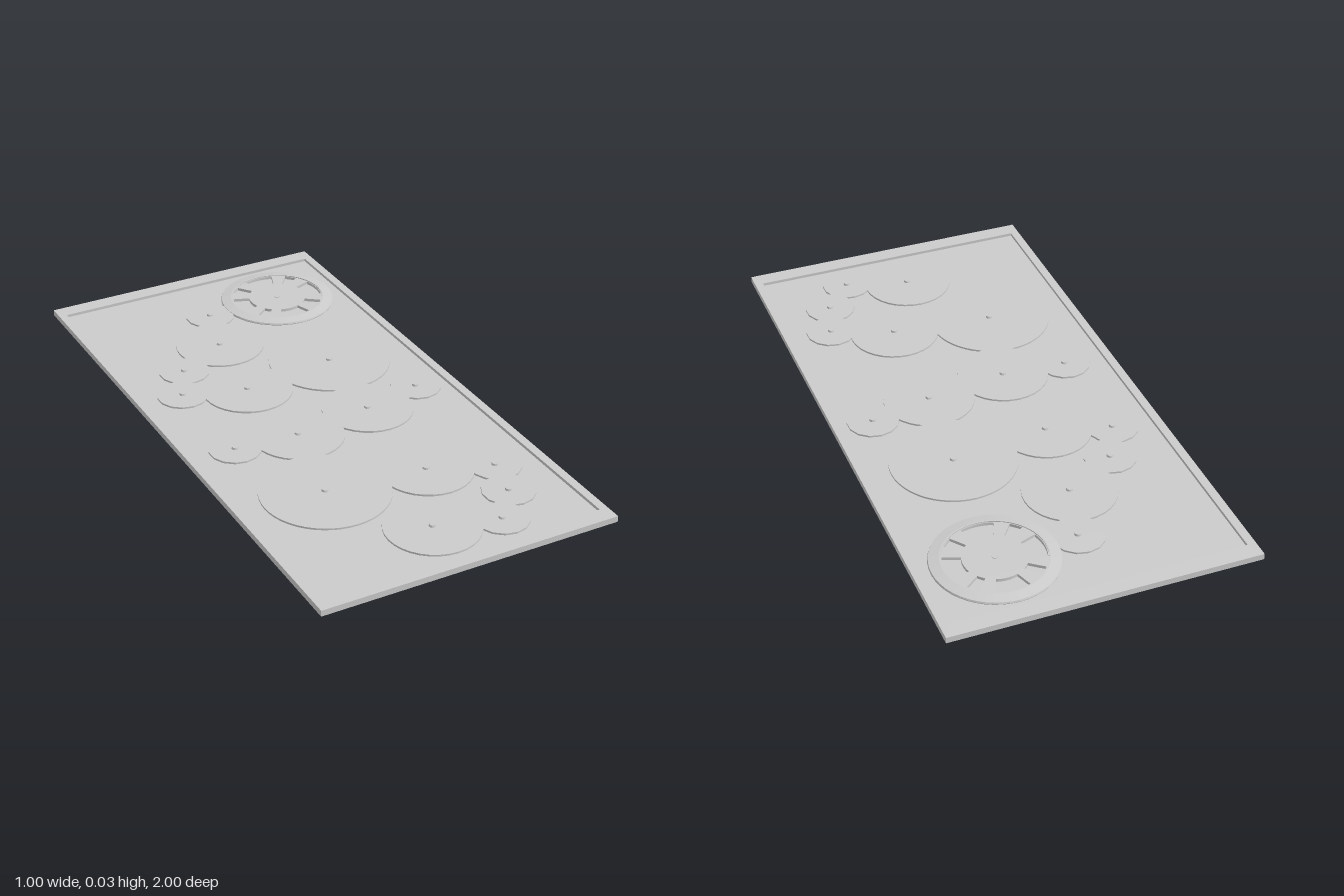
import * as THREE from 'three';

const material = new THREE.MeshStandardMaterial({ color: 0xcccccc, flatShading: true, side: THREE.DoubleSide });

function add(parent, name, geometry, x = 0, y = 0, z = 0) {
  const mesh = new THREE.Mesh(geometry, material);
  mesh.name = name;
  mesh.position.set(x, y, z);
  parent.add(mesh);
  return mesh;
}

// Lay a flat shape down and thicken it upward from y = 0
function slab(shape, height, curveSegments = 12) {
  return new THREE.ExtrudeGeometry(shape, { depth: height, bevelEnabled: false, curveSegments }).rotateX(-Math.PI / 2);
}

function rectangle(Type, hx, hz) {
  return new Type([[-hx, -hz], [hx, -hz], [hx, hz], [-hx, hz]].map(([x, z]) => new THREE.Vector2(x, z)));
}

// Window between two radii, centred on an angle
function sector(angle, half, inner, outer) {
  const path = new THREE.Path();
  path.absarc(0, 0, outer, angle - half, angle + half, false);
  path.absarc(0, 0, inner, angle + half, angle - half, true);
  path.closePath();
  return path;
}

function createWheel() {
  const wheel = new THREE.Group();
  wheel.name = 'wheel';

  // Chamfered outer rim
  const profile = [[0.16, 0], [0.17, 0], [0.197, 0.012], [0.2, 0.022], [0.198, 0.027], [0.165, 0.033], [0.16, 0.033], [0.16, 0]];
  add(wheel, 'rim', new THREE.LatheGeometry(profile.map(([r, y]) => new THREE.Vector2(r, y)), 48));

  // Spoked face: wide windows on the axes, narrow ones on the diagonals
  const face = new THREE.Shape();
  face.absarc(0, 0, 0.162, 0, Math.PI * 2, false);
  for (let i = 0; i < 8; i++) {
    face.holes.push(sector(i * Math.PI / 4, i % 2 ? 0.13 : 0.34, 0.1, 0.157));
  }
  add(wheel, 'spokes', slab(face, 0.026), 0, 0.004, 0);
  add(wheel, 'wheelPin', new THREE.CylinderGeometry(0.01, 0.01, 0.031, 10), 0, 0.0165, 0);
  return wheel;
}

export function createModel() {
  const model = new THREE.Group();
  model.name = 'gearPanel';

  // Border frame, wider at the two ends
  const border = rectangle(THREE.Shape, 0.5, 1);
  border.holes.push(rectangle(THREE.Path, 0.472, 0.945));
  add(model, 'frame', slab(border, 0.02), 0, 0.01, 0);

  // Recessed panel
  add(model, 'panel', new THREE.BoxGeometry(0.946, 0.004, 1.892), 0, 0.018, 0);

  // Merging discs: x, z, radius
  const discs = [
    [-0.025, -0.715, 0.085], [-0.085, -0.51, 0.15], [-0.27, -0.4, 0.085], [-0.34, -0.26, 0.085],
    [-0.135, -0.195, 0.15], [0.195, -0.24, 0.205], [0.365, 0.045, 0.085], [0.155, 0.095, 0.15],
    [-0.12, 0.135, 0.15], [-0.335, 0.12, 0.085], [-0.2, 0.465, 0.205], [0.135, 0.5, 0.15],
    [0.335, 0.58, 0.085], [0.295, 0.72, 0.085], [0.195, 0.84, 0.085], [-0.01, 0.78, 0.15],
  ];
  for (const [x, z, r] of discs) {
    const sides = r < 0.1 ? 14 : r < 0.2 ? 32 : 48;
    add(model, 'disc', new THREE.CylinderGeometry(r, r, 0.007, sides), x, 0.0225, z);
    add(model, 'discPin', new THREE.CylinderGeometry(0.01, 0.012, 0.008, 10), x, 0.0285, z);
  }

  const wheel = createWheel();
  wheel.position.set(0.245, 0, -0.725);
  model.add(wheel);
  return model;
}
